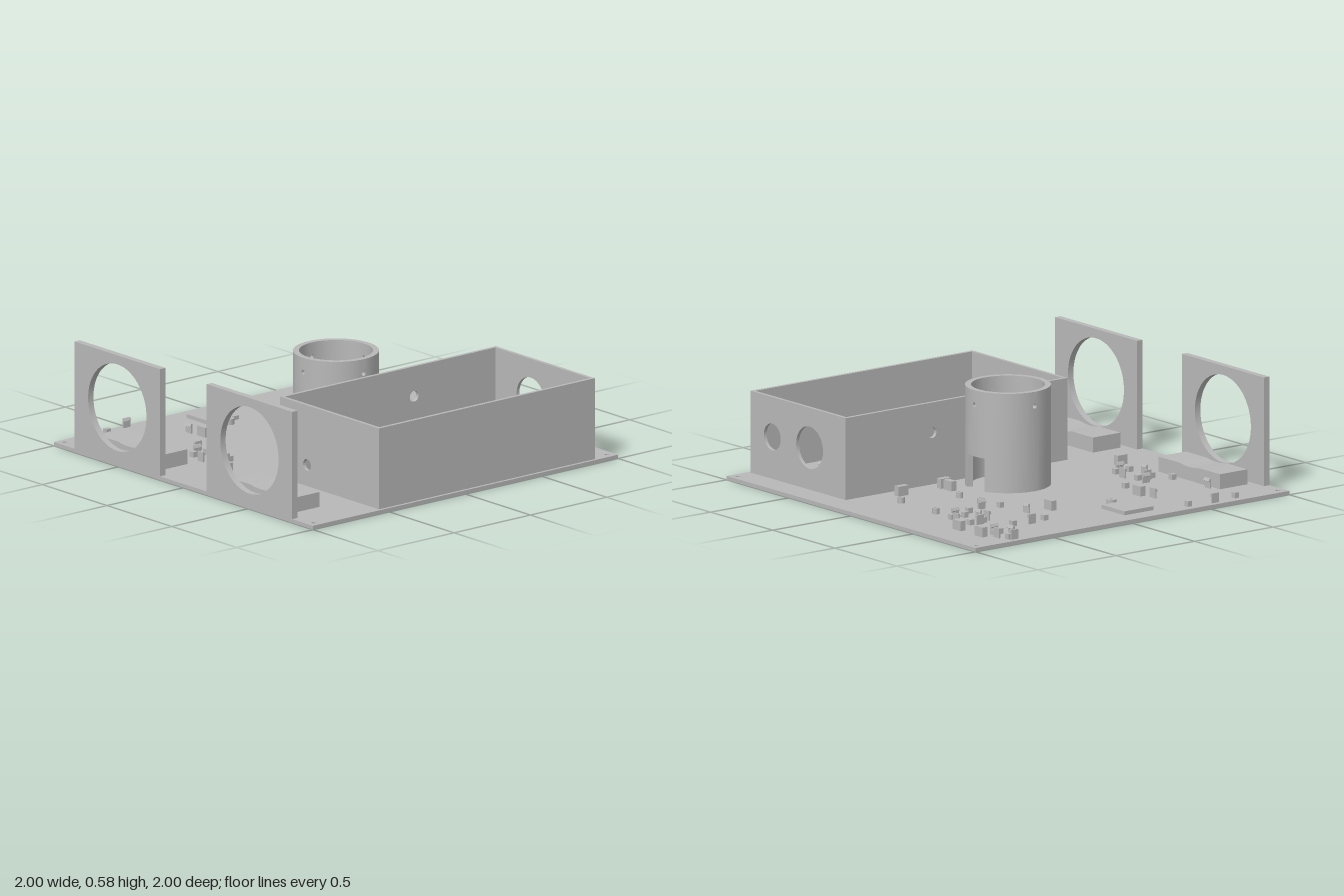
import * as THREE from 'three';
import { mergeGeometries, toCreasedNormals } from 'three/addons/utils/BufferGeometryUtils.js';

const grey = new THREE.MeshStandardMaterial({ color: 0xb8b8b8 });
grey.name = 'plain grey';
const FLOOR = 0.02; // top of the base plate

export function createModel() {
  const model = new THREE.Group();

  const add = (name, geometry, x = 0, y = 0, z = 0, parent = model) => {
    const mesh = new THREE.Mesh(geometry, grey);
    mesh.name = name;
    mesh.position.set(x, y, z);
    parent.add(mesh);
    return mesh;
  };
  // block standing on the plate, placed by its centre in x and z
  const block = (name, x, z, w, d, h, parent) =>
    add(name, new THREE.BoxGeometry(w, h, d), x, FLOOR + h / 2, z, parent);

  const rect = (x0, y0, x1, y1, Type = THREE.Shape) => new Type([
    new THREE.Vector2(x0, y0), new THREE.Vector2(x1, y0),
    new THREE.Vector2(x1, y1), new THREE.Vector2(x0, y1)]);
  const round = (x, y, rx, ry = rx) =>
    new THREE.Path().absellipse(x, y, rx, ry, 0, Math.PI * 2, true);
  const extrude = (shape, depth, curveSegments = 24) =>
    new THREE.ExtrudeGeometry(shape, { depth, bevelEnabled: false, curveSegments });
  const slab = (shape, holes, depth, segments) => {
    shape.holes.push(...holes);
    return toCreasedNormals(extrude(shape, depth, segments), 0.6);
  };

  // base plate with screw holes and cable slots
  const standoffs = [[-0.29, -0.69], [0, -0.68], [-0.26, -0.38], [-0.09, -0.38]];
  const plateHoles = [[-0.96, -0.96], [0.96, -0.96], [-0.96, 0.96], [0.96, 0.96]]
    .map(([x, z]) => round(x, -z, 0.012));
  standoffs.forEach(([x, z]) => plateHoles.push(round(x, -z, 0.008)));
  [-0.28, 0.2].forEach(z => plateHoles.push(rect(0.42, -z - 0.018, 0.44, -z + 0.018, THREE.Path)));
  add('basePlate', slab(rect(-1, -1, 1, 1), plateHoles, FLOOR).rotateX(-Math.PI / 2));

  // open battery box: four walls with cable openings
  const box = new THREE.Group();
  box.name = 'openBox';
  model.add(box);
  const [X0, X1, Z0, Z1, TOP, T] = [0.22, 0.985, -0.86, 0.555, 0.44, 0.018];
  add('boxFrontWall', slab(rect(X0, FLOOR, X1, TOP), [round(0.43, 0.13, 0.03)], T), 0, 0, Z1 - T, box);
  add('boxBackWall', slab(rect(X0, FLOOR, X1, TOP),
    [round(0.81, 0.235, 0.068), round(0.51, 0.235, 0.108)], T), 0, 0, Z0, box);
  const sideWall = holes =>
    slab(rect(Z0 + T, FLOOR, Z1 - T, TOP), holes, T).rotateY(-Math.PI / 2);
  add('boxRightWall', sideWall([round(-0.31, 0.285, 0.028)]), X0 + T, 0, 0, box);
  add('boxLeftWall', sideWall([]), X1, 0, 0, box);
  for (const x of [0.243, 0.62]) for (const z of [-0.815, 0.53])
    block('boxPeg', x, z, 0.014, 0.014, 0.02, box);

  // central tube: wall strips bent round, with a doorway at the back and four screw holes
  const N = 48, step = Math.PI * 2 / N, INNER = 0.185, WALL = 0.03;
  const strips = [];
  for (let i = 0; i < N; i++) {
    const a = i * step; // 0 = front, N/2 = back
    const doorway = Math.abs(i - N / 2) <= 2;
    const shape = rect(a - step / 2, doorway ? 0.19 : FLOOR, a + step / 2, 0.53);
    if (i % (N / 4) === 0) shape.holes.push(round(a, 0.455, 0.055, 0.012));
    const g = extrude(shape, WALL, 12);
    const p = g.attributes.position;
    for (let k = 0; k < p.count; k++) {
      const r = INNER + p.getZ(k), t = p.getX(k);
      p.setXYZ(k, Math.sin(t) * r, p.getY(k), Math.cos(t) * r);
    }
    strips.push(g);
  }
  const tube = mergeGeometries(strips);
  tube.computeVertexNormals();
  add('centralTube', toCreasedNormals(tube, 0.5));

  // fan panels, each with a low shallow-dished block behind
  for (const s of [-1, 1]) {
    const cx = s * 0.51;
    add('fanPanel', slab(rect(-0.33, FLOOR, 0.33, 0.577), [round(0, 0.305, 0.225)], 0.035, 48),
      cx, 0, 0.965);
    const profile = new THREE.Shape();
    profile.moveTo(-0.2475, FLOOR);
    profile.lineTo(0.2475, FLOOR);
    profile.lineTo(0.2475, 0.097);
    profile.lineTo(0.08, 0.097);
    profile.quadraticCurveTo(0, 0.081, -0.08, 0.097);
    profile.lineTo(-0.2475, 0.097);
    add('fanBlock', slab(profile, [], 0.175, 8), cx, 0, 0.75);
  }

  // hooked clip whose hook points to local +z
  const clipShape = w => {
    const s = new THREE.Shape([[0, 0], [0.008, 0], [0.008, 0.032], [0.016, 0.036], [0.008, 0.05], [0, 0.05]]
      .map(([a, b]) => new THREE.Vector2(a, b)));
    return extrude(s, w).translate(-0.008, 0, -w / 2).rotateY(-Math.PI / 2);
  };
  const clipGeometry = clipShape(0.045);

  // board mounts: four corner pads and four clips facing the middle
  // [centre x, centre z, pad dx, pad dz, clip dx, clip dz]
  const mounts = [
    [-0.887, -0.728, 0.06, 0.018, 0.078, 0.042],
    [-0.512, -0.664, 0.073, 0.04, 0.096, 0.068],
    [-0.557, -0.45, 0.178, 0.1, 0.198, 0.123],
    [0.785, -0.65, 0.133, 0.06, 0.153, 0.084],
    [-0.692, 0.55, 0.252, 0.15, 0.273, 0.17],
    [-0.257, 0.597, 0.088, 0.043, 0.108, 0.066],
  ];
  for (const [x, z, px, pz, cx, cz] of mounts) {
    const mount = new THREE.Group();
    mount.name = 'boardMount';
    model.add(mount);
    for (const sx of [-1, 1]) for (const sz of [-1, 1])
      block('mountPad', x + sx * px, z + sz * pz, 0.028, 0.028, 0.028, mount);
    [[0, -cz, 0], [0, cz, Math.PI], [-cx, 0, Math.PI / 2], [cx, 0, -Math.PI / 2]]
      .forEach(([dx, dz, turn]) => {
        add('mountClip', clipGeometry, x + dx, FLOOR, z + dz, mount).rotation.y = turn;
      });
  }

  // cable guide blocks, lying along x or along z
  for (const [x, z] of [[-0.81, -0.815], [-0.635, -0.815], [0.07, -0.315], [-0.573, -0.185],
    [-0.603, 0.357], [-0.603, 0.764]]) block('guideBlock', x, z, 0.063, 0.032, 0.05);
  for (const [x, z] of [[0.13, -0.575], [0.13, -0.305], [-0.02, 0.703]])
    block('guideBlock', x, z, 0.032, 0.063, 0.05);
  block('lowSquarePad', -0.8125, 0.118, 0.185, 0.185, 0.02);

  // hollow standoffs
  const ring = (name, x, z, r, bore, h) => {
    const s = new THREE.Shape().absarc(0, 0, r, 0, Math.PI * 2);
    add(name, slab(s, [round(0, 0, bore)], h, 10).rotateX(-Math.PI / 2), x, FLOOR, z);
  };
  standoffs.forEach(([x, z]) => ring('standoff', x, z, 0.018, 0.008, 0.03));
  ring('padPost', -0.685, 0.117, 0.025, 0.009, 0.03);

  return model;
}
